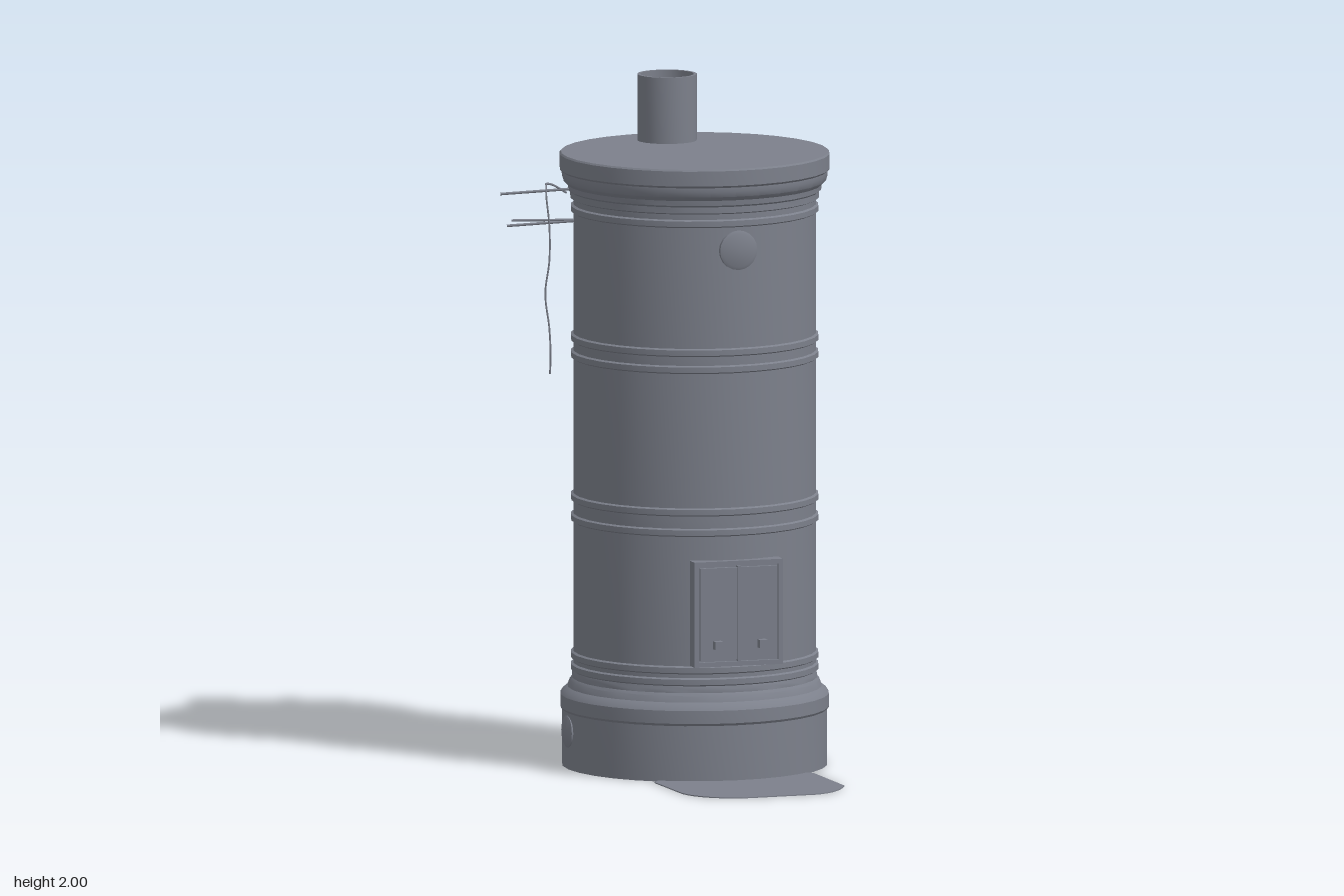
import * as THREE from 'three';
import { toCreasedNormals } from 'three/addons/utils/BufferGeometryUtils.js';

const CX = 0.092, CZ = -0.167; // axis of the stove

export function createModel() {
  const model = new THREE.Group();
  model.name = 'tiledStove';
  const steel = new THREE.MeshStandardMaterial({ color: 0x7c808b });
  steel.name = 'blueGrey';

  const add = (name, geometry, x = 0, y = 0, z = 0, parent = model) => {
    const mesh = new THREE.Mesh(geometry, steel);
    mesh.name = name;
    mesh.position.set(x, y, z);
    parent.add(mesh);
    return mesh;
  };
  const lathe = (points, sides) => toCreasedNormals(
    new THREE.LatheGeometry(points.map(([r, y]) => new THREE.Vector2(r, y)), sides), 0.5);
  const rod = (name, points, radius) => add(name, new THREE.TubeGeometry(
    new THREE.CatmullRomCurve3(points.map(p => new THREE.Vector3(...p))), points.length * 5, radius, 6));

  // Plinth, drum with raised bands, and cornice turned as one profile
  const R = 0.355;
  const band = y => [[R, y - 0.012], [R + 0.007, y - 0.008], [R + 0.007, y + 0.008], [R, y + 0.012]];
  add('body', lathe([
    [0, 0], [0.388, 0], [0.388, 0.165], [0.393, 0.172], [0.393, 0.21], [0.385, 0.222],
    [0.372, 0.232], [0.365, 0.25], [0.358, 0.258], [0.358, 0.27],
    ...band(0.29), ...band(0.325), ...band(0.73), ...band(0.79),
    ...band(1.21), ...band(1.26), ...band(1.64),
    [R, 1.668], [0.364, 1.672], [0.364, 1.69], [0.37, 1.695], [0.372, 1.71],
    [0.384, 1.722], [0.389, 1.738], [0.389, 1.75], [0.395, 1.756],
    [0.395, 1.8], [0.391, 1.805], [0, 1.805],
  ], 32), CX, 0, CZ);

  // Open flue pipe
  add('fluePipe', lathe([
    [0.087, 1.79], [0.087, 2], [0.078, 2], [0.078, 1.808], [0, 1.808],
  ], 28), 0.087, 0, -0.41);

  // Round vent covers: one high on the front, one on each side of the plinth
  const cover = (name, radius, x, y, z, yaw) => {
    const disc = add(name, lathe([
      [radius, -0.02], [radius, 0.004], [radius * 0.85, 0.008], [0, 0.01],
    ], 20).rotateX(Math.PI / 2), x, y, z);
    disc.rotation.y = yaw;
  };
  cover('frontVent', 0.058, 0.11, 1.56, CZ + R, 0.05);
  for (const side of [-1, 1]) {
    cover('plinthVent', 0.047, CX + side * 0.385, 0.11, CZ - 0.01, side * Math.PI / 2);
  }

  // Fire door: frame bars, two leaves and knobs
  const door = new THREE.Group();
  door.name = 'fireDoor';
  door.position.set(0.105, 0.493, 0);
  model.add(door);
  add('doorBack', new THREE.BoxGeometry(0.262, 0.298, 0.04), 0, 0, 0.178, door);
  for (const side of [-1, 1]) {
    add('frameUpright', new THREE.BoxGeometry(0.014, 0.31, 0.052), side * 0.129, 0, 0.183, door);
    add('frameRail', new THREE.BoxGeometry(0.272, 0.014, 0.052), 0, side * 0.148, 0.183, door);
    add('doorLeaf', new THREE.BoxGeometry(0.114, 0.272, 0.02), side * 0.061, 0, 0.2, door);
    add('doorKnob', new THREE.BoxGeometry(0.024, 0.024, 0.028), side * 0.068, -0.09, 0.222, door);
  }
  add('centreStrip', new THREE.BoxGeometry(0.01, 0.28, 0.016), 0, 0, 0.206, door);

  // Damper rods with a hanging cord
  rod('upperRod', [[-0.24, 1.7, -0.24], [-0.495, 1.7, -0.198]], 0.004);
  rod('upperRodBrace', [[-0.28, 1.69, -0.233], [-0.33, 1.718, -0.225], [-0.35, 1.72, -0.222]], 0.0035);
  rod('lowerRod', [[-0.24, 1.605, -0.24], [-0.475, 1.605, -0.2]], 0.004);
  rod('lowerRodBrace', [[-0.25, 1.608, -0.238], [-0.46, 1.62, -0.202]], 0.0035);
  rod('cord', [
    [-0.345, 1.722, -0.222], [-0.35, 1.69, -0.208], [-0.343, 1.6, -0.2], [-0.346, 1.5, -0.19],
    [-0.357, 1.4, -0.195], [-0.347, 1.3, -0.188], [-0.345, 1.22, -0.182], [-0.345, 1.165, -0.188],
  ], 0.0028);

  // Thin floor plate with rounded front corners
  const plate = new THREE.Shape();
  plate.moveTo(-0.145, -0.18);
  plate.lineTo(-0.138, -0.42);
  plate.bezierCurveTo(-0.125, -0.5, -0.07, -0.545, 0, -0.563);
  plate.lineTo(0.23, -0.555);
  plate.bezierCurveTo(0.29, -0.54, 0.325, -0.49, 0.36, -0.42);
  plate.lineTo(0.355, -0.145);
  plate.lineTo(0.25, -0.06);
  plate.lineTo(-0.05, -0.06);
  plate.closePath();
  add('floorPlate', new THREE.ExtrudeGeometry(plate, { depth: 0.003, bevelEnabled: false, curveSegments: 8 })
    .rotateX(-Math.PI / 2));

  return model;
}
